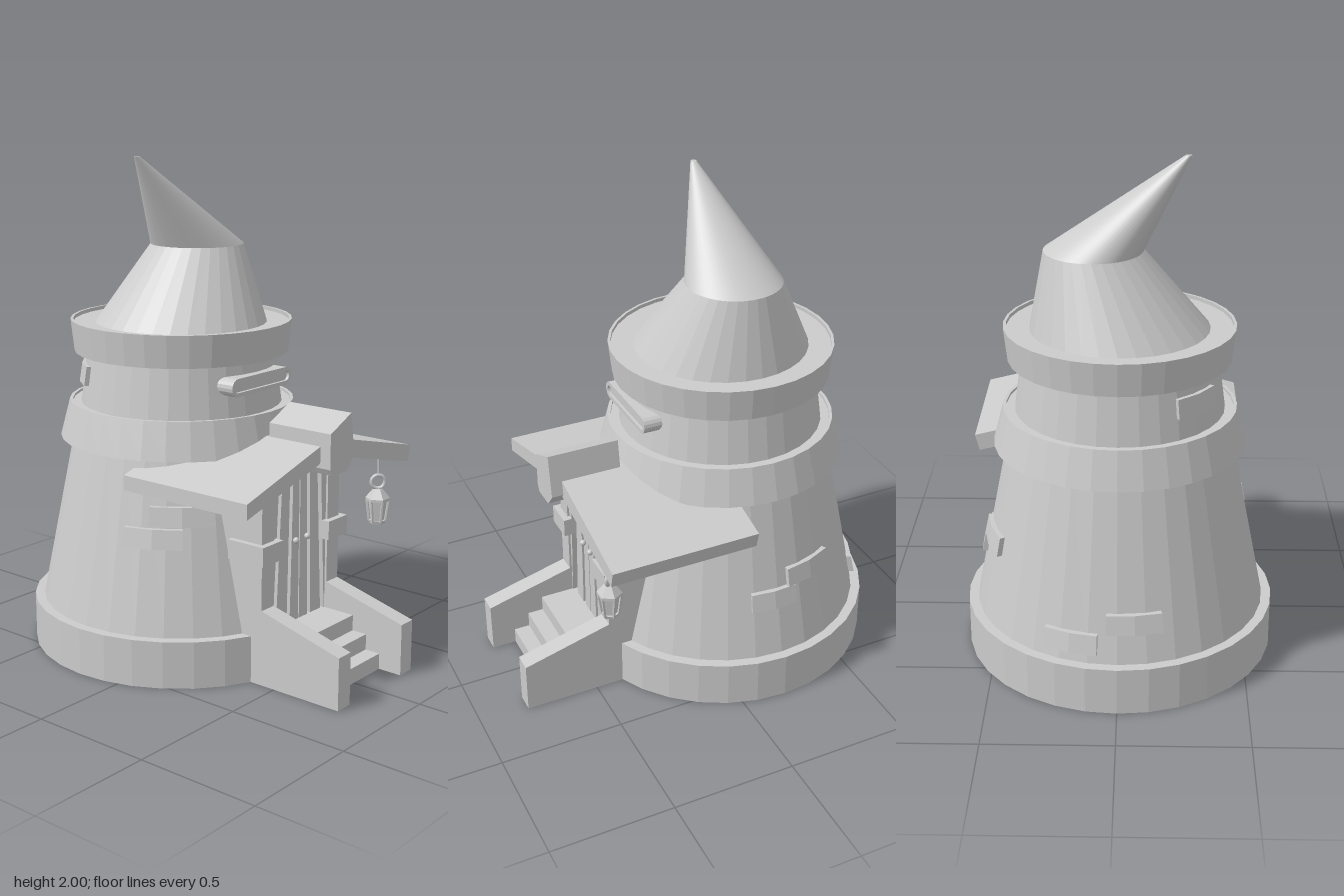
import * as THREE from 'three';

const flat = new THREE.MeshStandardMaterial({ color: 0xcccccc, flatShading: true, side: THREE.DoubleSide });
const smooth = new THREE.MeshStandardMaterial({ color: 0xcccccc, side: THREE.DoubleSide });
const SIDES = 32;
const AXIS = -0.18; // tower axis in x

// Radius of the tapering wall at height y
const wallRadius = (y) => (y < 0.95 ? 0.583 - (y - 0.19) * 0.205 : 0.41 - (y - 1.02) * 0.15);

function add(parent, name, geometry, material = flat) {
  const mesh = new THREE.Mesh(geometry, material);
  mesh.name = name;
  parent.add(mesh);
  return mesh;
}

// Outline in [z, y], extruded along x from x0 to x1
function extrudeX(points, x0, x1, holes = []) {
  const toV = ([z, y]) => new THREE.Vector2(-z, y);
  const shape = new THREE.Shape(points.map(toV));
  holes.forEach((h) => shape.holes.push(new THREE.Path(h.map(toV))));
  return new THREE.ExtrudeGeometry(shape, { depth: x1 - x0, bevelEnabled: false })
    .rotateY(Math.PI / 2).translate(x0, 0, 0);
}

// Outline in [x, y], extruded along z from z0 to z1
function extrudeZ(points, z0, z1) {
  const shape = new THREE.Shape(points.map(([x, y]) => new THREE.Vector2(x, y)));
  return new THREE.ExtrudeGeometry(shape, { depth: z1 - z0, bevelEnabled: false }).translate(0, 0, z0);
}

function box(x0, x1, y0, y1, z0, z1) {
  return new THREE.BoxGeometry(x1 - x0, y1 - y0, z1 - z0)
    .translate((x0 + x1) / 2, (y0 + y1) / 2, (z0 + z1) / 2);
}

const lathe = (profile, sides = SIDES) =>
  new THREE.LatheGeometry(profile.map(([r, y]) => new THREE.Vector2(r, y)), sides);

// Cone section whose centre slides along z as it rises
function leaningCone(r0, y0, z0, r1, y1, z1, sides, open) {
  const g = new THREE.CylinderGeometry(r1, r0, y1 - y0, sides, 1, open);
  const p = g.attributes.position;
  for (let i = 0; i < p.count; i++) {
    const t = p.getY(i) / (y1 - y0) + 0.5;
    p.setZ(i, p.getZ(i) + z0 + (z1 - z0) * t);
  }
  g.translate(0, (y0 + y1) / 2, 0);
  g.computeVertexNormals();
  return g;
}

// Brick bent around the tower wall, at angle atan2(dx, dz)
function brick(dx, dz, y, width) {
  const g = new THREE.BoxGeometry(width, 0.076, 0.06, 2, 1, 1);
  const p = g.attributes.position;
  const mid = Math.atan2(dx, dz);
  for (let i = 0; i < p.count; i++) {
    const a = mid + p.getX(i) / wallRadius(y);
    const h = y + p.getY(i);
    const r = wallRadius(h) + p.getZ(i) - 0.012;
    p.setXYZ(i, Math.sin(a) * r, h, Math.cos(a) * r);
  }
  return g;
}

// Horizontal capsule outline in [z, y]
function capsule(halfLength, radius, y) {
  const pts = [];
  for (let i = 0; i < 18; i++) {
    const a = -Math.PI / 2 + (i < 9 ? i : i - 1) * Math.PI / 8;
    pts.push([Math.cos(a) * radius + (i < 9 ? 1 : -1) * (halfLength - radius), y + Math.sin(a) * radius]);
  }
  return pts;
}

function buildTower() {
  const tower = new THREE.Group();
  tower.name = 'tower';
  tower.position.x = AXIS;
  add(tower, 'base', lathe([[0, 0], [0.62, 0], [0.62, 0.19], [0.57, 0.19]]));
  add(tower, 'lowerWall', lathe([[0.583, 0.18], [0.435, 0.92]]));
  add(tower, 'middleBand', lathe([[0.43, 0.87], [0.497, 0.87], [0.458, 1.02], [0.445, 1.02], [0.445, 1.01], [0.4, 1.01]]));
  add(tower, 'upperWall', lathe([[0.412, 1], [0.378, 1.25]]));
  add(tower, 'topBand', lathe([[0.37, 1.22], [0.435, 1.22], [0.449, 1.35], [0.438, 1.35], [0.438, 1.335], [0, 1.335]]));
  add(tower, 'lowerRoof', leaningCone(0.348, 1.335, 0, 0.19, 1.64, -0.1, SIDES, true));
  add(tower, 'bentRoofTip', leaningCone(0.19, 1.64, -0.1, 0.012, 2, 0.253, 48, true), smooth);
  add(tower, 'tipCap', new THREE.CircleGeometry(0.012, 16).rotateX(-Math.PI / 2).translate(0, 2, 0.253));

  // Loose wall bricks: offset from the axis, height, width
  [[0.24, 0.45, 0.567, 0.23], [0.325, 0.375, 0.652, 0.25], [-0.275, 0.3, 1.132, 0.2],
    [-0.55, 0.065, 0.35, 0.21], [-0.535, -0.175, 0.27, 0.21],
    [0.02, -0.53, 0.435, 0.19], [-0.15, -0.49, 0.51, 0.22]]
    .forEach(([dx, dz, y, w]) => add(tower, 'wallBrick', brick(dx, dz, y, w)));
  return tower;
}

function buildPorch() {
  const porch = new THREE.Group();
  porch.name = 'porch';
  const side = [[0.1, 0], [0.8, 0], [0.8, 0.21], [0.437, 0.305], [0.437, 0.845], [0.1, 0.845]];
  for (const s of [1, -1]) {
    const mid = s * 0.213 - 0.002;
    add(porch, 'stairWallAndDoorPost', extrudeZ(side, mid - 0.038, mid + 0.038));
    add(porch, 'postBlock', box(0.29, 0.462, 0.493, 0.57, mid - 0.063, mid + 0.063));
  }
  [0.7, 0.635, 0.57].forEach((x, i) =>
    add(porch, 'step', box(0.2, x, i * 0.065, (i + 1) * 0.065, -0.18, 0.178)));

  // Door: a backing board with four tapering planks and two knobs
  const door = new THREE.Group();
  door.name = 'door';
  porch.add(door);
  add(door, 'doorBacking', extrudeX([[-0.18, 0.1], [0.178, 0.1], [0.178, 0.845], [-0.01, 0.9], [-0.18, 0.85]], 0.15, 0.405));
  const planks = [[0.003, 0.058, 0.003, 0.042], [0.081, 0.148, 0.063, 0.11]];
  for (const s of [1, -1]) {
    planks.forEach(([b0, b1, t0, t1]) => add(door, 'doorPlank',
      extrudeX([[b0, 0.19], [b1, 0.19], [t1, 0.87], [t0, 0.87]].map(([z, y]) => [s * z - 0.012, y]), 0.4, 0.42)));
    add(door, 'doorFrame', extrudeX(
      [[0.172, 0.19], [0.2, 0.19], [0.2, 0.845], [0.134, 0.86]].map(([z, y]) => [s * z - 0.002, y]), 0.3, 0.428));
    add(door, 'doorKnob', new THREE.SphereGeometry(0.013, 12, 8).translate(0.43, 0.53, s * 0.037 - 0.015), smooth);
  }

  // Canopy: two sloping slabs and a crooked ridge beam
  add(porch, 'canopySlab', extrudeX([[0.49, 0.75], [0.49, 0.81], [0.045, 0.935], [-0.02, 0.935], [-0.02, 0.885]], -0.05, 0.555));
  add(porch, 'canopySlab', extrudeX([[-0.575, 0.748], [-0.592, 0.815], [-0.1, 0.938], [-0.02, 0.938], [-0.02, 0.885]], -0.05, 0.555));
  add(porch, 'ridgeBeam', extrudeX(
    [[0.045, 0.99], [-0.088, 1.05], [-0.114, 0.88], [-0.066, 0.825], [0.03, 0.825], [0.045, 0.85]], 0.31, 0.602));
  return porch;
}

function buildLantern() {
  const lantern = new THREE.Group();
  lantern.name = 'lantern';
  lantern.position.set(0.505, 0, -0.435);
  add(lantern, 'hangingRod', new THREE.CylinderGeometry(0.004, 0.004, 0.1, 6).translate(0, 0.755, 0));
  add(lantern, 'ring', new THREE.TorusGeometry(0.028, 0.008, 8, 20).rotateY(Math.PI / 4).translate(0, 0.682, 0), smooth);
  add(lantern, 'cap', lathe([[0, 0.655], [0.02, 0.652], [0.05, 0.615], [0.05, 0.603], [0, 0.603]], 6));
  add(lantern, 'glass', new THREE.CylinderGeometry(0.039, 0.027, 0.09, 6).translate(0, 0.562, 0));
  add(lantern, 'foot', new THREE.CylinderGeometry(0.037, 0.032, 0.015, 6).translate(0, 0.513, 0));
  for (let i = 0; i < 6; i++) {
    const a = i * Math.PI / 3;
    const at = (r, y) => new THREE.Vector3(Math.sin(a) * r, y, Math.cos(a) * r);
    add(lantern, 'bar', new THREE.TubeGeometry(new THREE.LineCurve3(at(0.033, 0.515), at(0.045, 0.608)), 1, 0.006, 5));
  }
  return lantern;
}

export function createModel() {
  const model = new THREE.Group();
  model.name = 'crookedTower';
  model.add(buildTower(), buildPorch(), buildLantern());

  // Slot window with a rounded frame
  add(model, 'windowFrame', extrudeX(capsule(0.187, 0.036, 1.135), 0.15, 0.24, [capsule(0.172, 0.02, 1.135)]));
  add(model, 'windowPane', extrudeX(capsule(0.174, 0.022, 1.135), 0.15, 0.228));
  return model;
}
